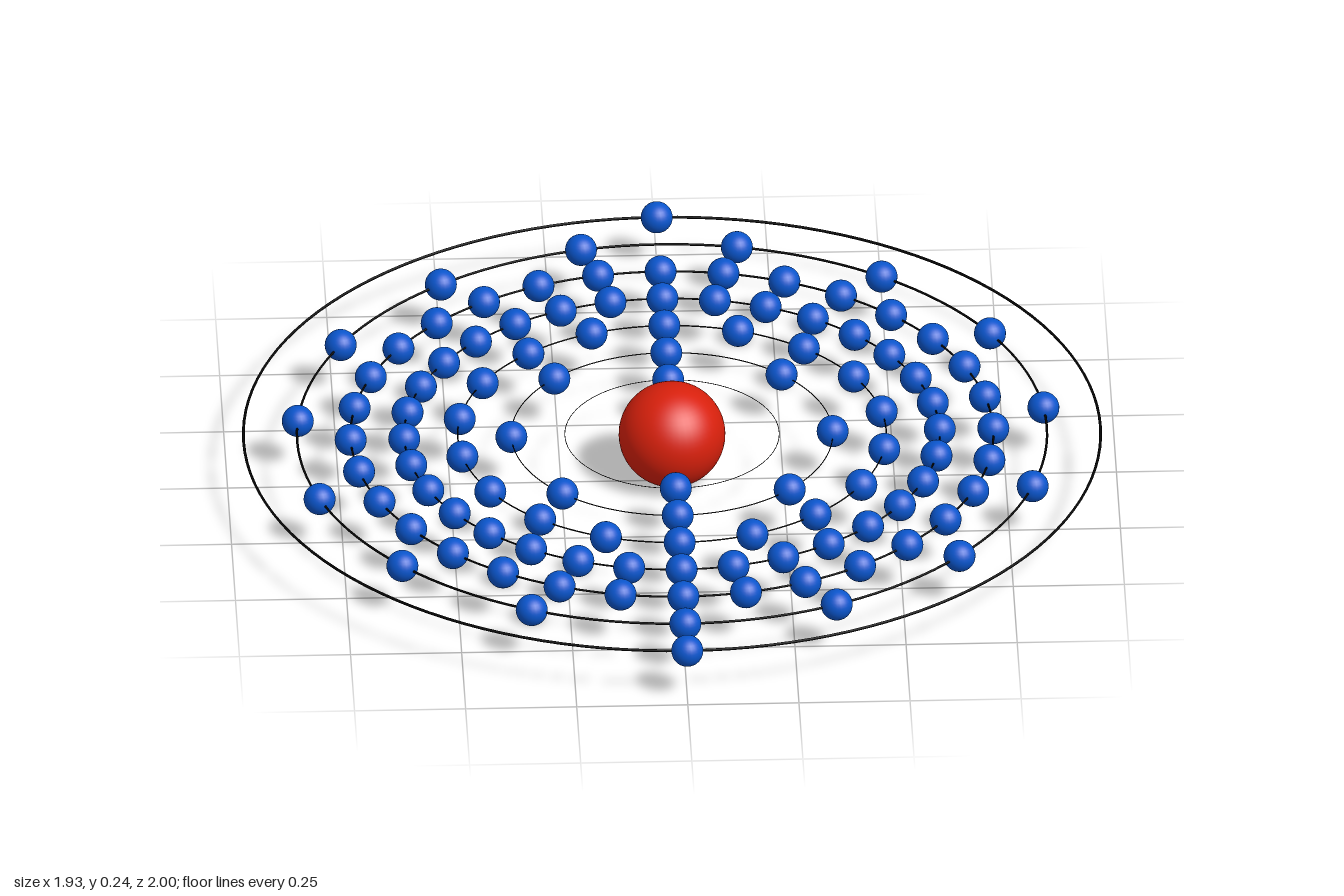
import * as THREE from 'three';

const CENTRE_Y = 0.12;
const SPACING = 0.1205;
const SHELLS = [2, 8, 18, 32, 32, 15, 2]; // electrons per shell, inside out

export function createModel() {
  const model = new THREE.Group();
  const red = new THREE.MeshStandardMaterial({ color: 0xd8200c });
  const blue = new THREE.MeshStandardMaterial({ color: 0x0a55cc });
  const black = new THREE.MeshStandardMaterial({ color: 0x050505 });

  // central ball
  const nucleus = new THREE.Mesh(new THREE.SphereGeometry(0.12, 48, 32), red);
  nucleus.name = 'nucleus';
  nucleus.position.y = CENTRE_Y;
  model.add(nucleus);

  const electronGeometry = new THREE.SphereGeometry(0.036, 24, 16);

  SHELLS.forEach((count, i) => {
    const radius = SPACING * (i + 2);
    const shell = new THREE.Group();
    shell.name = `shell${i + 1}`;
    shell.position.y = CENTRE_Y;

    // flat orbit ring, its wire thickening with the radius
    const ring = new THREE.Mesh(new THREE.TorusGeometry(radius, 0.0033 * radius, 6, 128), black);
    ring.name = 'orbitRing';
    ring.rotation.x = Math.PI / 2;
    shell.add(ring);

    // electrons evenly spaced, the first one at the front
    for (let k = 0; k < count; k++) {
      const angle = (k / count) * Math.PI * 2;
      const electron = new THREE.Mesh(electronGeometry, blue);
      electron.name = 'electron';
      electron.position.set(Math.sin(angle) * radius, 0, Math.cos(angle) * radius);
      shell.add(electron);
    }
    model.add(shell);
  });

  return model;
}
